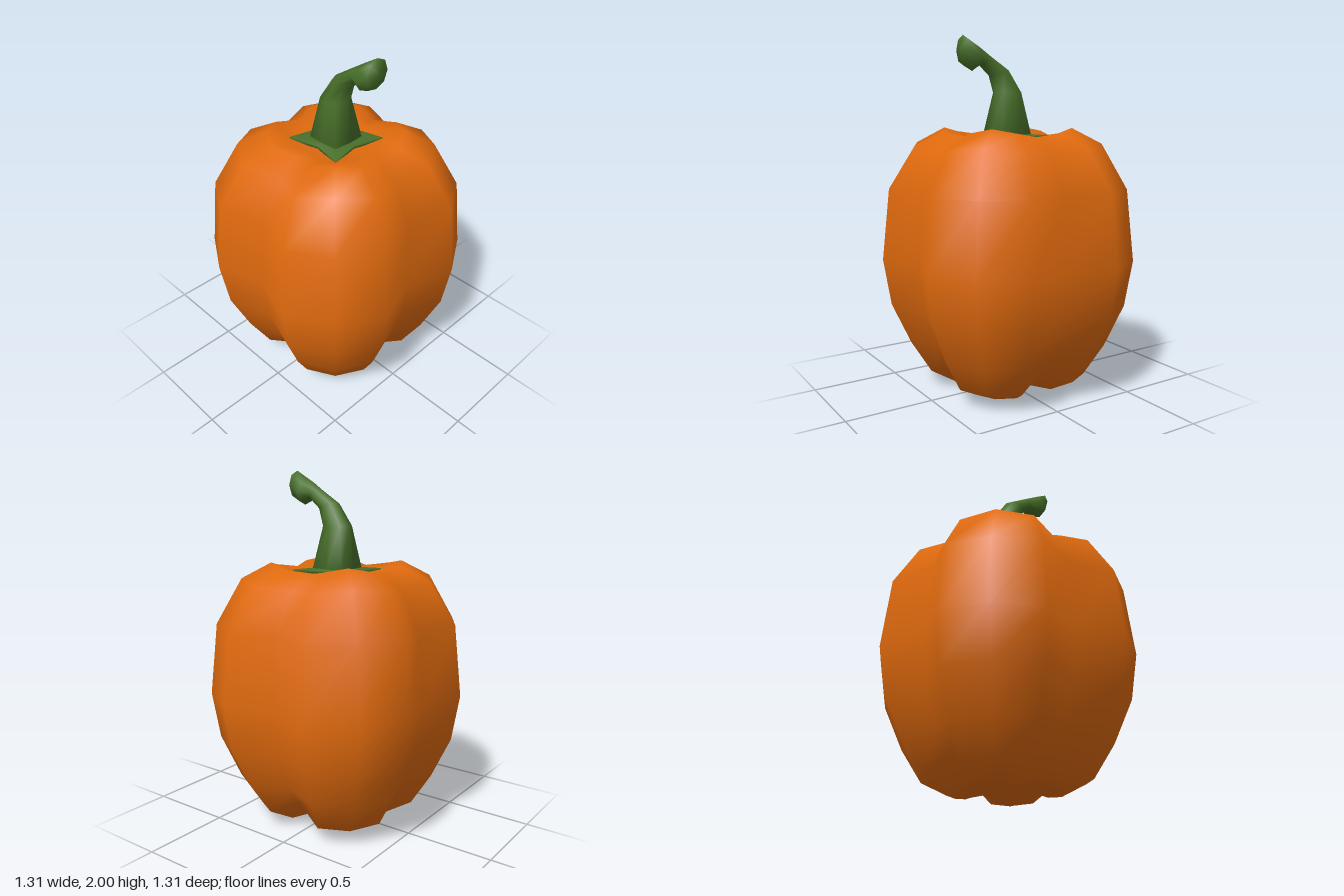
import * as THREE from 'three';

const orange = new THREE.MeshStandardMaterial({ color: 0xe06a0e });
orange.name = 'pepper orange';
const green = new THREE.MeshStandardMaterial({ color: 0x48702a });
green.name = 'stem green';

// Skin closed rings of [x, y, z] points, bottom to top, closing each end on a centre point.
function loft(rings, bottom, top) {
  const n = rings[0].length;
  const points = [...rings.flat(), bottom, top];
  const bottomId = rings.length * n;
  const topRow = (rings.length - 1) * n;
  const index = [];
  for (let j = 0; j < n; j++) {
    const k = (j + 1) % n;
    for (let i = 0; i < rings.length - 1; i++) {
      const a = i * n + j, b = i * n + k;
      index.push(a, a + n, b, b, a + n, b + n);
    }
    index.push(bottomId, j, k, bottomId + 1, topRow + k, topRow + j);
  }
  const geometry = new THREE.BufferGeometry();
  geometry.setAttribute('position', new THREE.Float32BufferAttribute(points.flat(), 3));
  geometry.setIndex(index);
  geometry.computeVertexNormals();
  return geometry;
}

function addMesh(group, name, geometry, material) {
  const mesh = new THREE.Mesh(geometry, material);
  mesh.name = name;
  group.add(mesh);
}

// Four-lobed body: each ring has a scale and heights at groove, shoulder and lobe crest.
function bodyGeometry() {
  const radii = [0.565, 0.708, 0.721, 0.708];
  const profile = [
    [0.3, 0.045, 0.025, 0.0],
    [0.43, 0.08, 0.025, 0.02],
    [0.63, 0.18, 0.1, 0.09],
    [0.79, 0.3, 0.28, 0.27],
    [0.94, 0.51, 0.51, 0.51],
    [1, 0.77, 0.77, 0.77],
    [0.94, 1.17, 1.17, 1.17],
    [0.74, 1.38, 1.4, 1.42],
    [0.51, 1.46, 1.48, 1.505],
    [0.34, 1.45, 1.45, 1.455],
  ];
  const rings = profile.map(([s, groove, shoulder, crest]) =>
    Array.from({ length: 16 }, (_, j) => {
      const angle = (j * Math.PI) / 8;
      const r = radii[j % 4] * s;
      const y = [groove, shoulder, crest, shoulder][j % 4];
      return [r * Math.cos(angle), y, r * Math.sin(angle)];
    }));
  return loft(rings, [0, 0.07, 0], [0, 1.44, 0]);
}

// Eight-point ring alternating between notch and corner radii.
function starRing(notch, corner, y) {
  return Array.from({ length: 8 }, (_, j) => {
    const r = j % 2 ? corner : notch;
    const angle = (j * Math.PI) / 4;
    return [r * Math.cos(angle), y, r * Math.sin(angle)];
  });
}

// Tilted oval ring through its inner (right) and outer (left) points.
function stemRing([rx, ry, lx, ly, halfDepth]) {
  return Array.from({ length: 8 }, (_, j) => {
    const c = Math.cos((j * Math.PI) / 4), s = Math.sin((j * Math.PI) / 4);
    return [
      (rx + lx) / 2 + (c * (rx - lx)) / 2,
      (ry + ly) / 2 + (c * (ry - ly)) / 2,
      s * halfDepth,
    ];
  });
}

export function createModel() {
  const model = new THREE.Group();
  model.name = 'bellPepper';

  addMesh(model, 'body', bodyGeometry(), orange);

  // Star-shaped leaf cap under the stem
  addMesh(model, 'calyx', loft(
    [starRing(0.135, 0.25, 1.445), starRing(0.135, 0.25, 1.463), starRing(0.09, 0.13, 1.47)],
    [0, 1.445, 0], [0, 1.47, 0]), green);

  // Bent stem widening to a knob at its cut end
  const bends = [
    [0.08, 1.7, -0.083, 1.7, 0.08],
    [0.11, 1.79, 0, 1.825, 0.06],
    [0.178, 1.845, 0.125, 1.905, 0.048],
    [0.225, 1.812, 0.205, 1.955, 0.082],
    [0.278, 1.84, 0.28, 2.0, 0.076],
  ];
  addMesh(model, 'stem', loft(
    [starRing(0.105, 0.14, 1.46), ...bends.map(stemRing)],
    [0, 1.45, 0], [0.295, 1.92, 0]), green);

  return model;
}
